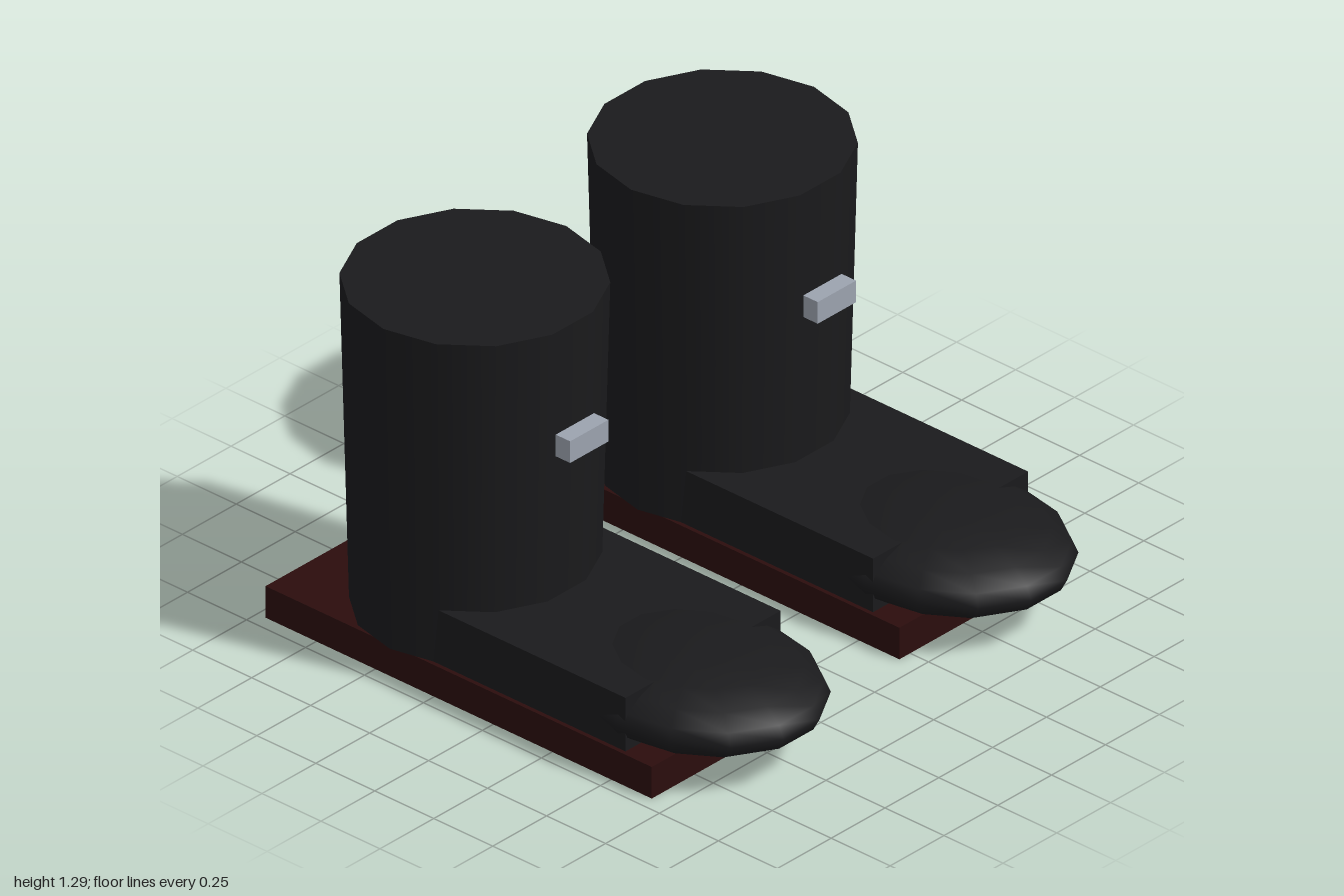
import * as THREE from 'three';

const leather = new THREE.MeshStandardMaterial({ color: 0x1a1a1c });
const soleBrown = new THREE.MeshStandardMaterial({ color: 0x2b0d0d });
const metal = new THREE.MeshStandardMaterial({ color: 0x9ca3af });

// Adds a named mesh to a parent
function add(parent, name, geometry, material, x, y, z) {
  const mesh = new THREE.Mesh(geometry, material);
  mesh.name = name;
  mesh.position.set(x, y, z);
  parent.add(mesh);
  return mesh;
}

// Box given by its width and its y and z ranges
function addBox(parent, name, material, width, y0, y1, z0, z1) {
  const geometry = new THREE.BoxGeometry(width, y1 - y0, z1 - z0);
  return add(parent, name, geometry, material, 0, (y0 + y1) / 2, (z0 + z1) / 2);
}

function createBoot(name) {
  const boot = new THREE.Group();
  boot.name = name;

  // Flat slab under the whole foot
  addBox(boot, 'sole', soleBrown, 0.75, 0, 0.115, -0.965, 0.672);

  // Instep block running from inside the shaft to the toe
  addBox(boot, 'instep', leather, 0.72, 0.115, 0.31, -0.42, 0.547);

  // Slightly flared shaft, with corners pointing to the sides
  const shaft = new THREE.CylinderGeometry(0.425, 0.395, 1.18, 14).rotateY(Math.PI / 2);
  add(boot, 'shaft', shaft, leather, 0, 0.705, -0.42);

  // Flattened round toe cap
  const toe = new THREE.SphereGeometry(1, 14, 10).scale(0.375, 0.137, 0.46);
  add(boot, 'toeCap', toe, leather, 0, 0.203, 0.516);

  // Small buckle standing just off the shaft
  addBox(boot, 'buckle', metal, 0.178, 0.853, 0.932, 0.004, 0.065);

  return boot;
}

export function createModel() {
  const model = new THREE.Group();
  model.name = 'boots';
  for (const [name, side] of [['leftBoot', 1], ['rightBoot', -1]]) {
    const boot = createBoot(name);
    boot.position.x = side * 0.575;
    model.add(boot);
  }
  return model;
}
